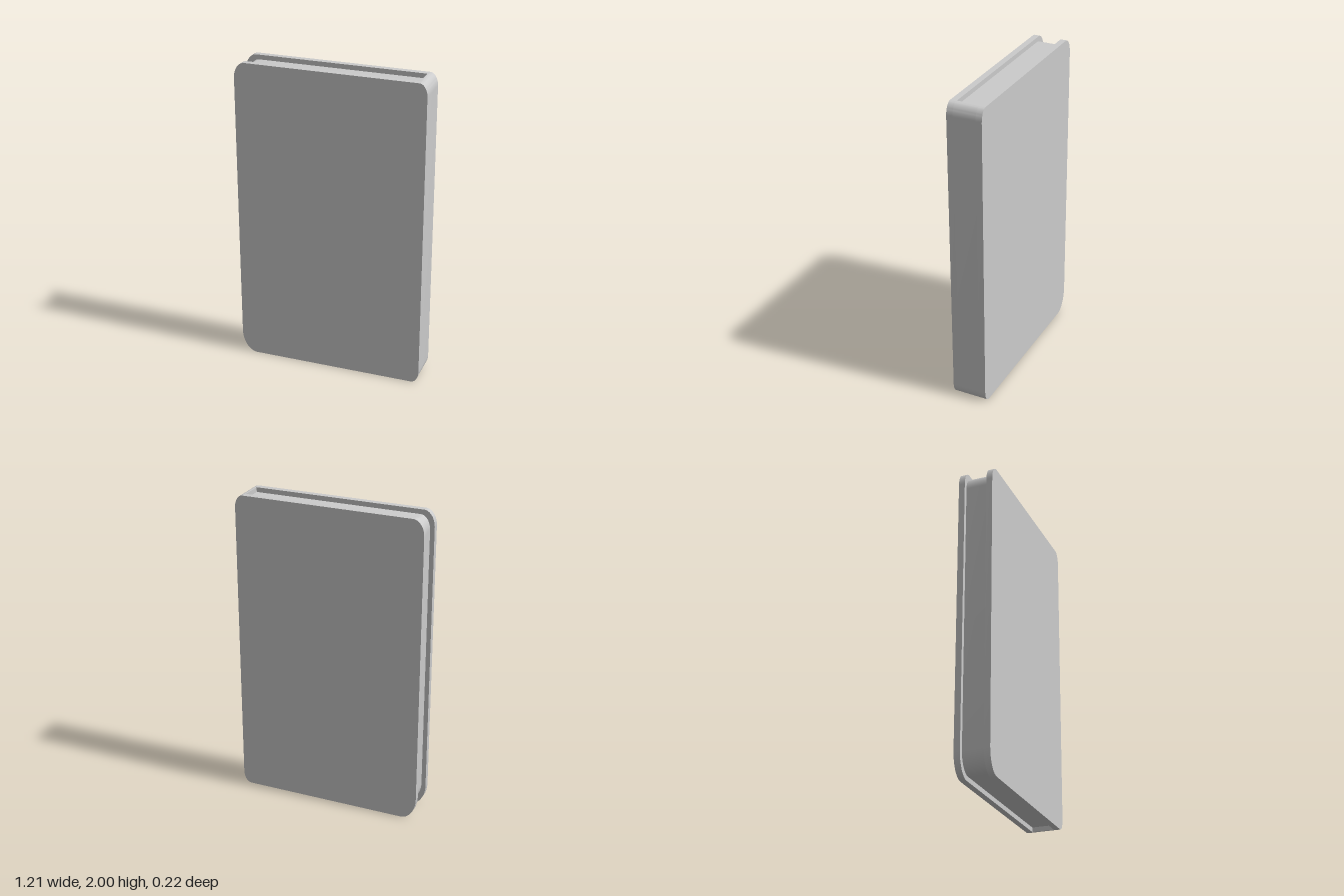
import * as THREE from 'three';
import { toCreasedNormals } from 'three/addons/utils/BufferGeometryUtils.js';

const material = new THREE.MeshStandardMaterial({ color: 0xcccccc });

// Upright panel with elliptical corners; each corner is [rx, ry], or null for square
function panel(name, x0, x1, y0, y1, z0, z1, { bl, br, tr, tl }) {
  const points = [];
  const steps = 12;
  const corner = (c, x, y, sx, sy, start) => {
    if (!c) return points.push(new THREE.Vector2(x, y));
    for (let i = 0; i <= steps; i++) {
      const a = start + (i / steps) * Math.PI / 2;
      points.push(new THREE.Vector2(
        x - sx * c[0] + c[0] * Math.cos(a),
        y - sy * c[1] + c[1] * Math.sin(a)));
    }
  };
  corner(bl, x0, y0, -1, -1, Math.PI);
  corner(br, x1, y0, 1, -1, Math.PI * 1.5);
  corner(tr, x1, y1, 1, 1, 0);
  corner(tl, x0, y1, -1, 1, Math.PI / 2);

  const geometry = new THREE.ExtrudeGeometry(new THREE.Shape(points), {
    depth: z1 - z0, bevelEnabled: false,
  });
  geometry.translate(0, 0, z0);
  const mesh = new THREE.Mesh(toCreasedNormals(geometry, Math.PI / 6), material);
  mesh.name = name;
  return mesh;
}

export function createModel() {
  const group = new THREE.Group();
  group.name = 'book';

  const spineCorner = [0.05, 0.08];
  const coverCorners = {
    bl: [0.1, 0.15], br: spineCorner, tr: spineCorner, tl: [0.07, 0.1],
  };

  // Two boards, joined along the +x side by the spine
  group.add(panel('frontCover', -0.608, 0.605, 0, 2, 0.072, 0.111, coverCorners));
  group.add(panel('backCover', -0.608, 0.605, 0, 2, -0.111, -0.072, coverCorners));
  group.add(panel('spine', 0.548, 0.605, 0, 2, -0.072, 0.072,
    { br: spineCorner, tr: spineCorner }));

  // Page block, set in slightly from the cover edges
  group.add(panel('pages', -0.58, 0.548, 0.03, 1.97, -0.072, 0.072,
    { bl: [0.09, 0.13], tl: [0.06, 0.09] }));

  return group;
}
